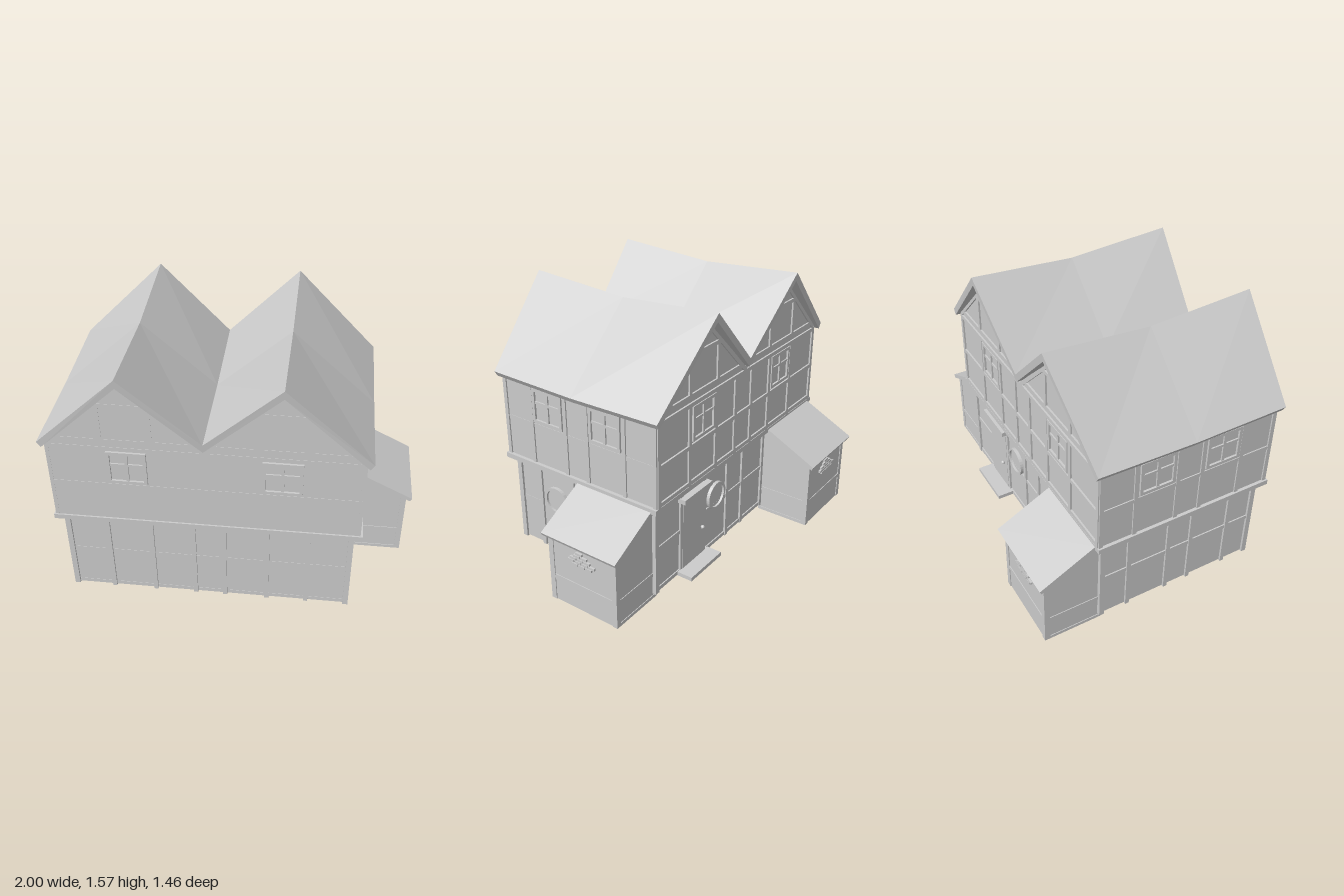
import * as THREE from 'three';

const mat = new THREE.MeshStandardMaterial({ color: 0xcccccc, flatShading: true });
const thin = new THREE.MeshStandardMaterial({ color: 0xcccccc, flatShading: true, side: THREE.DoubleSide });

function add(parent, name, geometry, material = mat) {
  const mesh = new THREE.Mesh(geometry, material);
  mesh.name = name;
  parent.add(mesh);
  return mesh;
}

// box from min/max ranges
function block(parent, name, x0, x1, y0, y1, z0, z1) {
  const m = add(parent, name, new THREE.BoxGeometry(x1 - x0, y1 - y0, z1 - z0));
  m.position.set((x0 + x1) / 2, (y0 + y1) / 2, (z0 + z1) / 2);
  return m;
}

// flat polygon in a face's own plane
function panel(parent, name, points) {
  return add(parent, name, new THREE.ShapeGeometry(new THREE.Shape(points.map(p => new THREE.Vector2(...p)))), thin);
}

// a group whose local x runs along a wall, y up and z outwards
function wallFace(parent, name, x, z, angle) {
  const g = new THREE.Group();
  g.name = name;
  g.position.set(x, 0, z);
  g.rotation.y = angle;
  parent.add(g);
  return g;
}

function posts(face, centres, y0, y1, out) {
  for (const u of centres) block(face, 'post', u - 0.012, u + 0.012, y0, y1, -0.012, out);
}

function rail(face, u0, u1, y, out) {
  return block(face, 'rail', u0, u1, y - 0.012, y + 0.012, -0.012, out);
}

// four-pane casement window
function casement(face, u) {
  const g = new THREE.Group();
  g.name = 'window';
  g.position.set(u, 0.967, 0);
  face.add(g);
  const w = 0.105, h = 0.103, t = 0.018;
  for (const s of [-1, 1]) {
    const a = s * (w - t / 2), b = s * (h - t / 2);
    block(g, 'windowStile', a - t / 2, a + t / 2, -h, h, -0.01, 0.012);
    block(g, 'windowRail', -w, w, b - t / 2, b + t / 2, -0.01, 0.012);
  }
  block(g, 'mullion', -0.008, 0.008, -h, h, -0.01, 0.009);
  block(g, 'glazingBar', -w, w, 0.012, 0.026, -0.01, 0.008);
}

// round window with a raised ring
function roundWindow(face, u) {
  const ring = new THREE.Shape();
  ring.absarc(0, 0, 0.085, 0, Math.PI * 2);
  const hole = new THREE.Path();
  hole.absarc(0, 0, 0.071, 0, Math.PI * 2, true);
  ring.holes.push(hole);
  const g = new THREE.ExtrudeGeometry(ring, { depth: 0.02, bevelEnabled: false, curveSegments: 16 });
  add(face, 'roundWindowRing', g).position.set(u, 0.372, 0);
  add(face, 'roundWindowPane', new THREE.CircleGeometry(0.073, 32), thin).position.set(u, 0.372, 0.006);
}

// timber triangle of one gable
function gableTimbers(face, u, out) {
  rail(face, u - 0.37, u + 0.37, 1.135, out);
  rail(face, u - 0.15, u + 0.15, 1.355, out);
  posts(face, [u - 0.13, u + 0.13], 1.14, 1.36, out);
  for (const s of [-1, 1]) {
    const brace = block(face, 'gableBrace', -0.27, 0.27, -0.012, 0.012, -0.012, out);
    brace.position.set(u + s * 0.215, 1.29, (out - 0.012) / 2);
    brace.rotation.z = -s * Math.PI / 4;
  }
}

// lean-to shed, open underneath
function leanTo(parent, name, x, z, angle) {
  const g = wallFace(parent, name, x, z, angle);
  const w = 0.225, d = 0.335;
  panel(g, 'shedFrontWall', [[-w, 0], [w, 0], [w, 0.415], [-w, 0.415]]).position.z = d;
  for (const s of [-1, 1]) {
    const side = panel(g, 'shedSideWall', [[0, 0], [d, 0], [d, 0.415], [0, 0.59]]);
    side.rotation.y = -Math.PI / 2;
    side.position.x = s * w;
    const p = s * (w - 0.012);
    block(g, 'shedPost', p - 0.016, p + 0.016, 0, 0.42, d - 0.026, d + 0.005);
    block(g, 'shedSideRail', s * w - 0.004, s * w + 0.004, 0.145, 0.168, 0, d);
    block(g, 'shedSideSill', s * w - 0.004, s * w + 0.004, 0, 0.02, 0, d);
  }
  for (const y of [0.156, 0.405]) rail(g, -w, w, y, 0.004).position.z += d;
  // sloping roof slab
  const section = new THREE.Shape([[0, 0.605], [0.05, 0.595], [0.372, 0.43], [0.362, 0.41], [0, 0.588]]
    .map(p => new THREE.Vector2(...p)));
  const roof = add(g, 'shedRoof', new THREE.ExtrudeGeometry(section, { depth: 0.5, bevelEnabled: false }));
  roof.rotation.y = -Math.PI / 2;
  roof.position.x = 0.25;
  // patch of bare bricks
  [[-0.065, 3], [-0.09, 4], [-0.075, 3], [-0.05, 2], [-0.035, 1]].forEach(([start, n], row) => {
    for (let i = 0; i < n; i++) {
      const u = start + i * 0.046, y = 0.292 + row * 0.018;
      block(g, 'brick', u, u + 0.042, y, y + 0.014, d - 0.005, d + 0.012);
    }
  });
}

// double-gabled roof: closed outline swept over three sections, sagging in the middle
function roofGeometry() {
  const top = [[-1, 1.118], [-0.545, 1.565], [-0.14, 1.172], [0.265, 1.565], [0.72, 1.114]];
  const under = [[0.7, 1.082], [0.265, 1.515], [-0.14, 1.122], [-0.545, 1.515], [-0.98, 1.085]];
  const outline = [...top, ...under], n = outline.length;
  const point = (i, k) => {
    const [x, y] = outline[i], rise = THREE.MathUtils.clamp((y - 1.11) / 0.45, 0, 1);
    if (k === 1) return [x, y - 0.01 - 0.03 * rise, 0.12];
    return [x, y, k === 0 ? -0.438 - 0.05 * rise : 0.67 + 0.057 * rise];
  };
  const pos = [];
  const quad = (a, b, c, d) => pos.push(...a, ...b, ...c, ...a, ...c, ...d);
  for (let k = 0; k < 2; k++) {
    for (let i = 0; i < n; i++) {
      const j = (i + 1) % n;
      quad(point(i, k), point(i, k + 1), point(j, k + 1), point(j, k));
    }
  }
  for (let i = 0; i < 4; i++) {
    const a = i, b = i + 1, c = n - 2 - i, d = n - 1 - i;
    quad(point(a, 0), point(b, 0), point(c, 0), point(d, 0));
    quad(point(d, 2), point(c, 2), point(b, 2), point(a, 2));
  }
  const g = new THREE.BufferGeometry();
  g.setAttribute('position', new THREE.Float32BufferAttribute(pos, 3));
  g.computeVertexNormals();
  return g;
}

export function createModel() {
  const house = new THREE.Group();
  house.name = 'house';
  const H = Math.PI / 2;
  const xPosts = [-0.7, -0.455, -0.22, -0.05, 0.19, 0.415];
  const zPosts = [0.445, 0.2, 0.05, -0.2];

  // front and back walls: s = 1 is the front
  for (const s of [1, -1]) {
    const angle = s > 0 ? 0 : Math.PI, label = s > 0 ? 'front' : 'back';
    const along = list => list.map(x => x * s);

    const low = wallFace(house, label + 'LowerWall', 0, s > 0 ? 0.605 : -0.365, angle);
    const [l, r] = along([-0.925, 0.645]).sort((p, q) => p - q);
    panel(low, 'wall', [[l, 0.035], [r, 0.035], [r, 0.6], [l, 0.6]]);
    posts(low, along(xPosts), 0.03, 0.58, 0.012);
    for (const y of [0.047, 0.31]) rail(low, l, r, y, s > 0 ? 0.002 : 0.007);

    const up = wallFace(house, label + 'UpperWall', 0, s > 0 ? 0.646 : -0.405, angle);
    const out = s > 0 ? 0.002 : 0.01;
    panel(up, 'gabledWall', [[-0.962, 0.6], [0.68, 0.6], [0.68, 1.105], [0.265, 1.515], [-0.14, 1.125], [-0.545, 1.515], [-0.962, 1.105]]
      .map(([x, y]) => [x * s, y]));
    const [a, b] = along([-0.96, 0.678]).sort((p, q) => p - q);
    for (const y of [0.84, 1.085]) rail(up, a, b, y, out);
    if (s < 0) {
      posts(up, along([-0.95, -0.67, -0.42, -0.22, -0.05, 0.145, 0.395, 0.667]), 0.6, 1.09, out);
      rail(up, a, b, 0.62, out);
    }
    for (const x of [-0.545, 0.265]) {
      casement(up, x * s);
      gableTimbers(up, x * s, out);
    }

    // side walls: s = 1 is the +x side
    const side = s > 0 ? 'left' : 'right';
    const across = list => list.map(z => -z * s);
    const sideLow = wallFace(house, side + 'LowerWall', s > 0 ? 0.645 : -0.925, 0, s * H);
    const [c, d] = across([-0.365, 0.605]).sort((p, q) => p - q);
    panel(sideLow, 'wall', [[c, 0.035], [d, 0.035], [d, 0.6], [c, 0.6]]);
    posts(sideLow, across(zPosts), 0.03, 0.58, 0.012);
    rail(sideLow, c, d, 0.31, s > 0 ? 0.002 : 0.007);
    if (s > 0) roundWindow(sideLow, -0.325);

    const sideUp = wallFace(house, side + 'UpperWall', s > 0 ? 0.68 : -0.962, 0, s * H);
    const [e, f] = across([-0.405, 0.646]).sort((p, q) => p - q);
    panel(sideUp, 'wall', [[e, 0.6], [f, 0.6], [f, 1.11], [e, 1.11]]);
    posts(sideUp, across([0.635, ...zPosts, -0.397]), 0.6, 1.1, 0.008);
    rail(sideUp, e, f, 0.84, s > 0 ? 0.002 : 0.006);
    for (const z of [0.323, -0.075]) casement(sideUp, -z * s);
  }

  // corner posts
  for (const x of [-0.923, 0.643]) {
    for (const z of [-0.363, 0.603]) block(house, 'cornerPost', x - 0.015, x + 0.015, 0.03, 0.58, z - 0.015, z + 0.015);
  }

  // jetty beams between the storeys
  for (const [z0, z1] of [[0.59, 0.655], [-0.415, -0.35]]) block(house, 'jettyBeam', -0.98, 0.7, 0.575, 0.605, z0, z1);
  for (const [x0, x1] of [[-0.98, -0.91], [0.63, 0.7]]) block(house, 'jettyBeam', x0, x1, 0.575, 0.605, -0.35, 0.59);

  // back door with step, canopy and knob, and the round window beside it
  const back = wallFace(house, 'backDoor', 0, -0.365, Math.PI);
  block(back, 'doorPanel', -0.405, -0.2, 0.055, 0.505, -0.01, 0.014);
  block(back, 'doorStep', -0.45, -0.15, 0.033, 0.057, 0, 0.105);
  block(back, 'doorCanopy', -0.435, -0.17, 0.503, 0.53, 0, 0.048);
  add(back, 'doorKnob', new THREE.SphereGeometry(0.012, 10, 8)).position.set(-0.23, 0.245, 0.028);
  roundWindow(back, -0.07);

  leanTo(house, 'sideShed', 0.63, -0.13, H);
  leanTo(house, 'backShed', -0.69, -0.36, Math.PI);

  add(house, 'roof', roofGeometry(), thin);
  return house;
}
